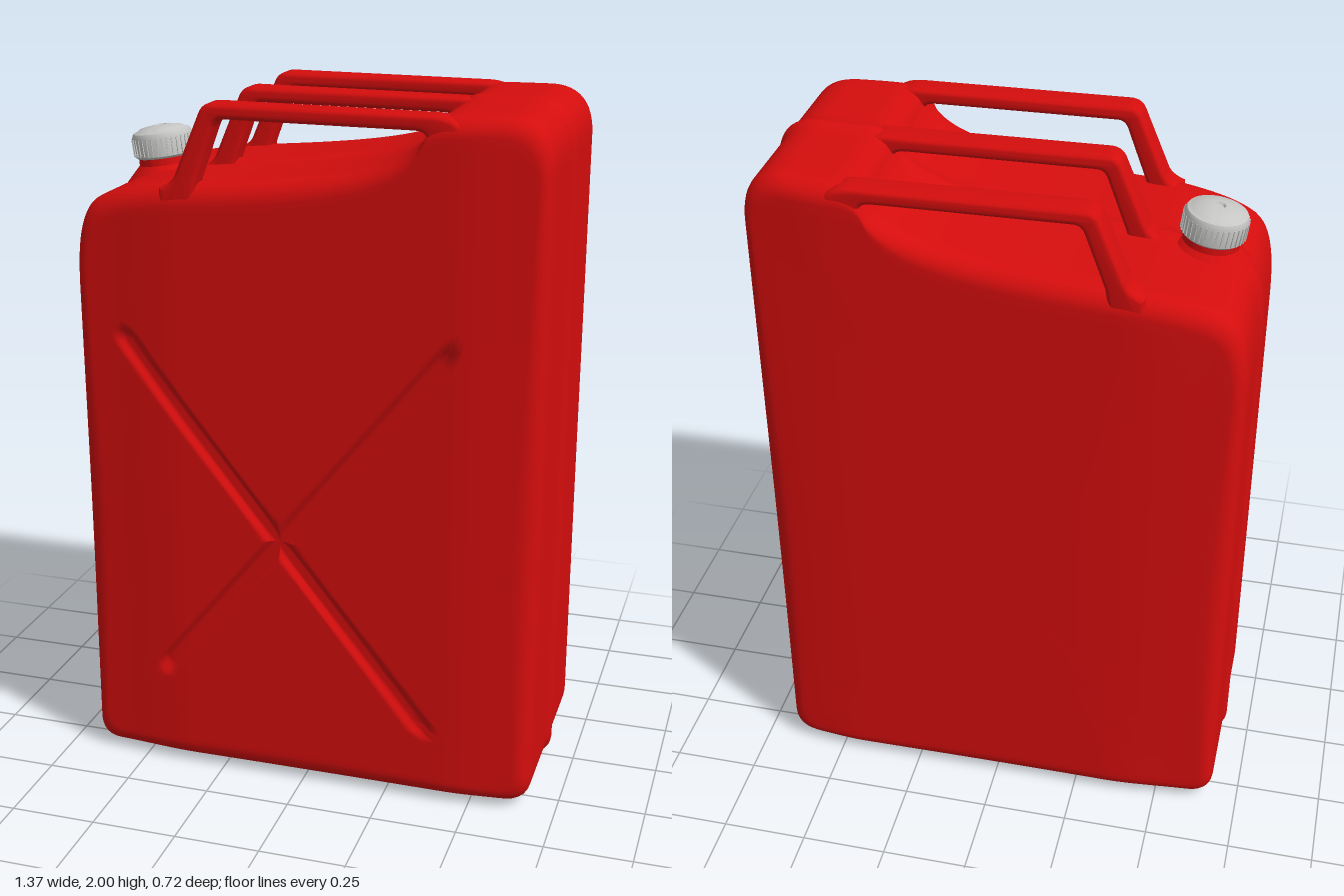
import * as THREE from 'three';
import { toCreasedNormals } from 'three/addons/utils/BufferGeometryUtils.js';

const red = new THREE.MeshStandardMaterial({ color: 0xd50d0d });
red.name = 'red paint';
const grey = new THREE.MeshStandardMaterial({ color: 0xc6c6c4 });
grey.name = 'grey metal';

function part(name, geometry, material) {
  const mesh = new THREE.Mesh(geometry, material);
  mesh.name = name;
  return mesh;
}

// Side silhouette of the can, counter-clockwise from the bottom left
function outline() {
  const s = new THREE.Shape();
  s.moveTo(-0.61, 0.012);
  s.lineTo(0.6, 0.012);
  s.quadraticCurveTo(0.672, 0.012, 0.672, 0.085);
  s.lineTo(0.672, 1.85);
  s.bezierCurveTo(0.672, 1.94, 0.63, 1.987, 0.55, 1.987);
  s.lineTo(0.43, 1.985);
  s.quadraticCurveTo(0.36, 1.985, 0.345, 1.94);
  s.bezierCurveTo(0.29, 1.835, 0.08, 1.8, -0.3, 1.77);
  s.lineTo(-0.4, 1.762);
  s.bezierCurveTo(-0.48, 1.75, -0.55, 1.738, -0.6, 1.71);
  s.bezierCurveTo(-0.66, 1.68, -0.672, 1.58, -0.672, 1.45);
  s.lineTo(-0.672, 0.08);
  s.quadraticCurveTo(-0.672, 0.012, -0.61, 0.012);
  return s;
}

const smooth = THREE.MathUtils.smoothstep;
const centre = new THREE.Vector2(-0.065, 0.756); // where the grooves cross
const grooveEnds = [[-0.515, 1.32], [0.41, 1.345], [-0.415, 0.325], [0.355, 0.235]];

// Depth of the pressed cross at a point of the front panel
function groove(x, y) {
  let d = 1;
  for (const [ex, ey] of grooveEnds) {
    const dx = ex - centre.x, dy = ey - centre.y;
    const t = THREE.MathUtils.clamp(((x - centre.x) * dx + (y - centre.y) * dy) / (dx * dx + dy * dy), 0, 1);
    d = Math.min(d, Math.hypot(x - centre.x - t * dx, y - centre.y - t * dy));
  }
  return 0.016 * (1 - smooth(d, 0.012, 0.034));
}

// The can is thinner towards both narrow sides
const taper = (x) => 1 - 0.07 * smooth(-x, 0.34, 0.68) - 0.06 * smooth(x, 0.42, 0.68);

function bodyGeometry() {
  const N = 400, R = 0.06, HALF = 0.36;
  const pts = outline().getSpacedPoints(N).slice(0, N);

  // Half profile from the welded seam to the panel: inset, scale, depth
  const half = [[-0.009, 1, 0.012], [0, 1, 0.03], [0, 1, 0.06], [0, 1, 0.27]];
  for (let i = 0; i <= 6; i++) {
    const a = (i / 6) * Math.PI / 2;
    half.push([R * (1 - Math.cos(a)), 1, HALF - R + R * Math.sin(a)]);
  }
  const rings = [[-0.012, 1, 0], ...half];
  for (let i = 1; i <= 48; i++) rings.push([R, 1 - i / 48, HALF]);
  const back = half.map(([e, s, z]) => [e, s, -z]);
  for (const s of [0.97, 0.85, 0.6, 0.3, 0]) back.push([R, s, -HALF]);
  rings.unshift(...back.reverse());

  const pos = [], index = [];
  rings.forEach(([inset, scale, depth], k) => {
    for (const p of pts) {
      const len = p.distanceTo(centre);
      const f = ((len - inset) / len) * scale;
      const x = centre.x + (p.x - centre.x) * f;
      const y = centre.y + (p.y - centre.y) * f;
      let z = depth * taper(x);
      if (depth === HALF) z -= groove(x, y);
      pos.push(x, y, z);
    }
    if (k === rings.length - 1) return;
    for (let i = 0; i < N; i++) {
      const a = k * N + i, b = k * N + (i + 1) % N;
      if (k > 0) index.push(a, b, a + N);
      if (k < rings.length - 2) index.push(b, b + N, a + N);
      if (k === 0) index.push(a, b + N, a + N);
    }
  });
  const g = new THREE.BufferGeometry();
  g.setAttribute('position', new THREE.Float32BufferAttribute(pos, 3));
  g.setIndex(index);
  g.computeVertexNormals();
  return g;
}

// Carrying bar: slanted leg on the left, running into the shoulder on the right
function handleGeometry() {
  const s = new THREE.Shape();
  s.moveTo(-0.4, 1.69);
  s.lineTo(-0.31, 1.69);
  s.lineTo(-0.296, 1.775);
  s.lineTo(-0.24, 1.925);
  s.quadraticCurveTo(-0.232, 1.947, -0.21, 1.947);
  s.lineTo(0.31, 1.943);
  s.quadraticCurveTo(0.35, 1.942, 0.342, 1.91);
  s.lineTo(0.44, 1.9);
  s.lineTo(0.44, 1.95);
  s.quadraticCurveTo(0.42, 1.984, 0.36, 1.985);
  s.lineTo(-0.235, 1.99);
  s.quadraticCurveTo(-0.268, 1.99, -0.28, 1.963);
  s.lineTo(-0.35, 1.8);
  s.quadraticCurveTo(-0.36, 1.77, -0.4, 1.757);
  const g = new THREE.ExtrudeGeometry(s, {
    depth: 0.052, bevelEnabled: true, bevelThickness: 0.015, bevelSize: 0.014,
    bevelOffset: -0.014, bevelSegments: 4, curveSegments: 8,
  });
  g.translate(0, 0, -0.026);
  return toCreasedNormals(g, 0.7);
}

// Turned part from [radius, height] pairs
function turned(profile) {
  const g = new THREE.LatheGeometry(profile.map(([r, y]) => new THREE.Vector2(r, y)), 48);
  return toCreasedNormals(g, 0.6);
}

export function createModel() {
  const model = new THREE.Group();
  model.name = 'fuel can';
  model.add(part('body', bodyGeometry(), red));

  // Three parallel handles
  const handle = handleGeometry();
  [['frontHandle', 0.315], ['middleHandle', 0], ['backHandle', -0.315]].forEach(([name, z]) => {
    const h = part(name, handle, red);
    h.position.z = z;
    model.add(h);
  });

  // Filler neck and screw cap, leaning outwards
  const filler = new THREE.Group();
  filler.name = 'filler';
  filler.position.set(-0.522, 1.775, 0.0);
  filler.rotation.z = 0.14;
  filler.add(part('neck', turned([[0.12, -0.06], [0.095, -0.035], [0.078, -0.018], [0.074, 0.03]]), red));
  filler.add(part('cap', turned([
    [0, 0.002], [0.08, 0.002], [0.086, 0.008], [0.088, 0.062], [0.082, 0.074], [0.07, 0.078],
    [0.062, 0.084], [0.03, 0.09], [0.018, 0.091], [0.014, 0.085], [0, 0.084],
  ]), grey));

  // Grip ribs round the cap
  const rib = new THREE.BoxGeometry(0.004, 0.05, 0.005);
  const ribs = new THREE.Group();
  ribs.name = 'capRibs';
  for (let i = 0; i < 36; i++) {
    const a = (i / 36) * Math.PI * 2;
    const r = part('capRib', rib, grey);
    r.position.set(Math.cos(a) * 0.088, 0.036, Math.sin(a) * 0.088);
    r.rotation.y = -a;
    ribs.add(r);
  }
  filler.add(ribs);
  model.add(filler);
  return model;
}
